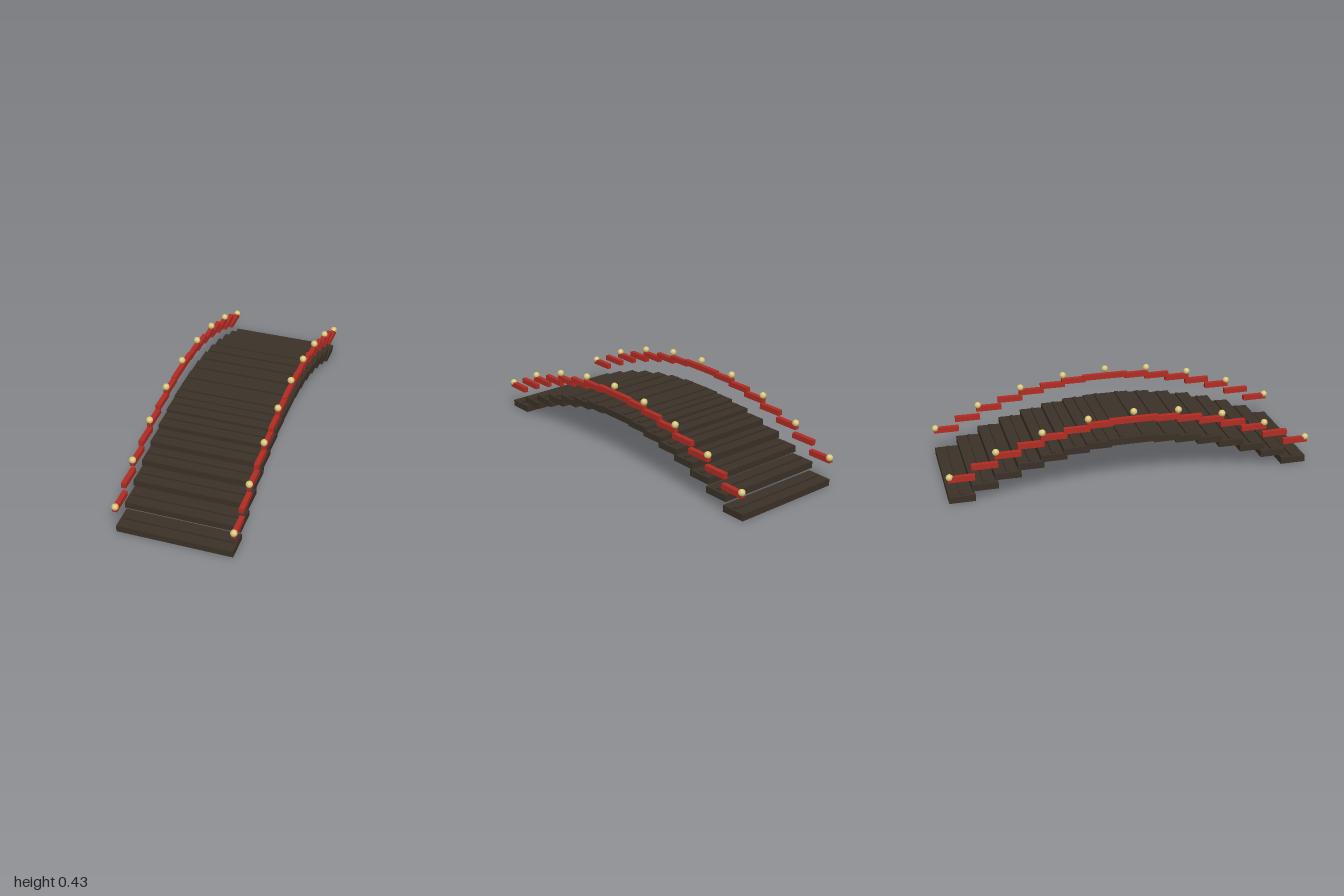
import * as THREE from 'three';

const SEGMENTS = 16;
const STEP = 0.1227;
const RISE = 0.262;

// Parabolic arch height along the span, s counted in segments from one end
const arch = (s) => {
  const t = s / SEGMENTS;
  return RISE * 4 * t * (1 - t);
};
const zAt = (s) => (s - SEGMENTS / 2) * STEP;

function material(name, color) {
  const m = new THREE.MeshStandardMaterial({ color });
  m.name = name;
  return m;
}

export function createModel() {
  const bridge = new THREE.Group();
  bridge.name = 'archedFootbridge';

  const wood = material('darkWood', 0x3b3127);
  const red = material('redPaint', 0xb02c23);
  const gold = material('paleGold', 0xd6c67c);

  const plankGeo = new THREE.BoxGeometry(0.622, 0.036, 0.14);
  const battenGeo = new THREE.BoxGeometry(0.592, 0.014, 0.02);
  const railGeo = new THREE.BoxGeometry(0.026, 0.0295, 0.14);
  const knobGeo = new THREE.SphereGeometry(0.0187, 20, 14);

  const add = (name, geo, mat, x, y, z) => {
    const mesh = new THREE.Mesh(geo, mat);
    mesh.name = name;
    mesh.position.set(x, y, z);
    bridge.add(mesh);
  };

  // Stepped deck planks with a batten across each, and the rail pieces above
  for (let i = 0; i < SEGMENTS; i++) {
    const s = i + 0.5;
    const y = arch(s) - arch(0.5);
    const z = zAt(s);
    add('deckPlank', plankGeo, wood, 0, y + 0.018, z);
    add('deckBatten', battenGeo, wood, 0, y + 0.039, z);
    for (const side of [-1, 1]) {
      add(side > 0 ? 'leftRail' : 'rightRail', railGeo, red, side * 0.3125, y + 0.142, z);
    }
  }

  // Round knobs on the rails at every second joint
  for (let s = 0; s <= SEGMENTS; s += 2) {
    for (const side of [-1, 1]) {
      add(side > 0 ? 'leftKnob' : 'rightKnob', knobGeo, gold, side * 0.3125, arch(s) + 0.153, zAt(s));
    }
  }

  return bridge;
}
